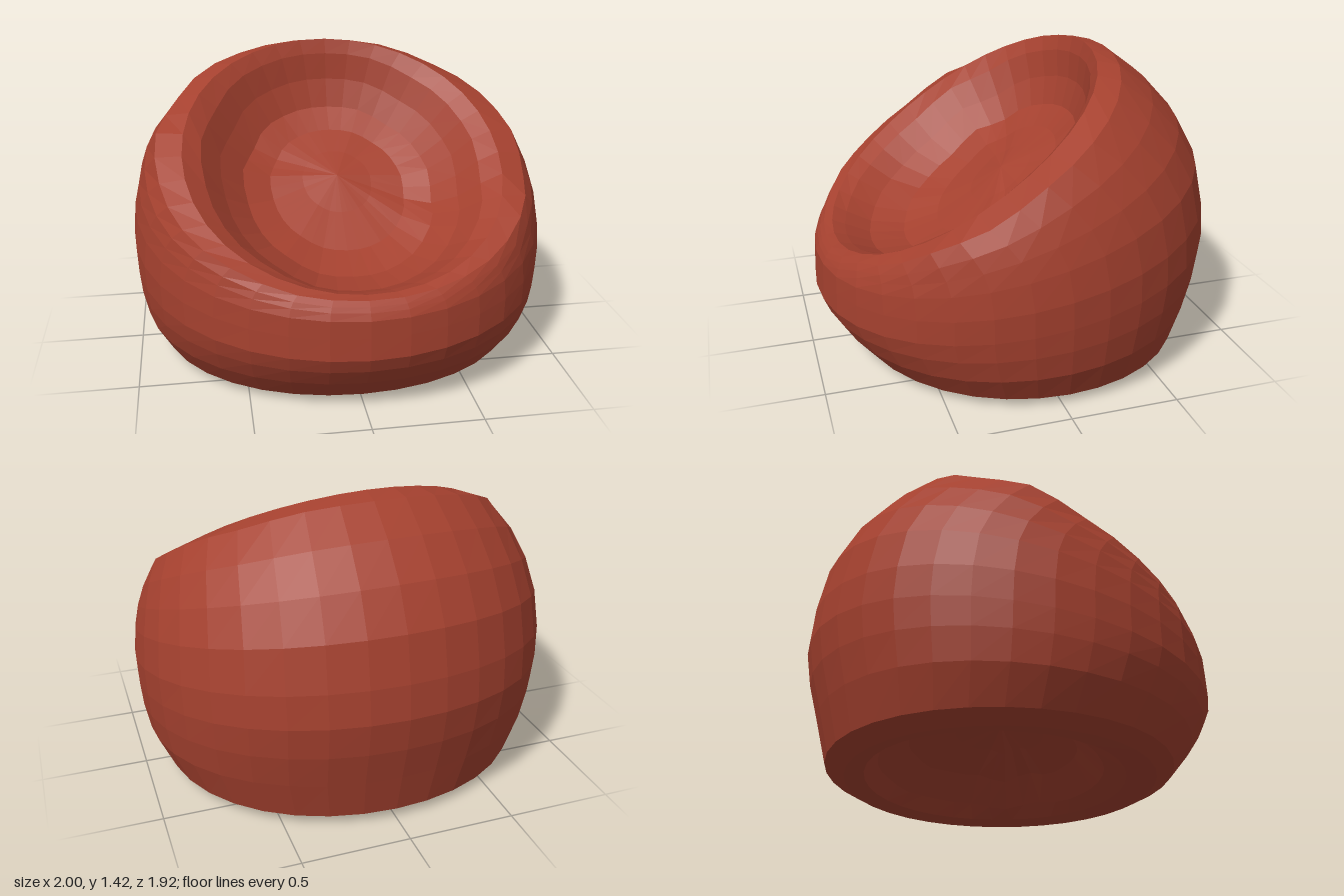
import * as THREE from 'three';

const SEGMENTS = 36;
const TWIST = 0.06; // the raised back leans a little to one side

// Each ring: [front z, front y, back z, back y, half width, wrinkle depth]
const BODY = [
  [0.70, 0.00, -0.75, 0.00, 0.80, 0],
  [0.78, 0.04, -0.84, 0.05, 0.885, 0],
  [0.87, 0.15, -0.89, 0.25, 0.96, 0],
  [0.93, 0.24, -0.935, 0.42, 0.985, 0],
  [0.96, 0.31, -0.96, 0.58, 0.995, 0],
  [0.955, 0.41, -0.945, 0.74, 1.0, 0],
  [0.95, 0.49, -0.90, 0.95, 0.985, 0],
  [0.935, 0.52, -0.80, 1.13, 0.96, 0],
  [0.92, 0.54, -0.66, 1.28, 0.925, 0.006],
  [0.90, 0.56, -0.50, 1.40, 0.87, 0.015],
  [0.86, 0.57, -0.40, 1.42, 0.75, 0],
];
const SEAT = [
  BODY[BODY.length - 1],
  [0.80, 0.55, -0.38, 1.35, 0.66, 0.015],
  [0.68, 0.50, -0.37, 1.22, 0.57, 0.02],
  [0.51, 0.49, -0.33, 1.08, 0.46, 0.02],
  [0.34, 0.55, -0.24, 0.98, 0.33, 0.01],
  [0.17, 0.68, -0.12, 0.90, 0.17, 0.005],
  [0.02, 0.82, 0.02, 0.82, 0, 0],
];
const BASE = [
  [-0.02, 0.29, -0.02, 0.29, 0, 0],
  [0.18, 0.24, -0.24, 0.25, 0.24, 0.02],
  [0.34, 0.16, -0.46, 0.19, 0.46, 0.03],
  [0.46, 0.05, -0.60, 0.09, 0.62, 0.02],
  [0.56, 0.01, -0.66, 0.02, 0.70, 0],
  BODY[0],
];

// Uneven cloth folds: strongest at the sides, faint at front and back
function fold(angle) {
  const side = 0.15 + 0.85 * Math.sin(angle) ** 2;
  return side * (0.6 * Math.sin(angle * 7 + 0.6) + 0.4 * Math.sin(angle * 11 + 2));
}

function ringPoint([zf, yf, zb, yb, rx, wrinkle], j) {
  const a = (j / SEGMENTS) * Math.PI * 2;
  const along = (1 - Math.cos(a)) / 2;
  const rise = (1 - Math.cos(a - TWIST)) / 2;
  const f = wrinkle * fold(a);
  // slightly squarer corners
  const bulge = 1 + 0.012 * Math.sin(2 * a) ** 2;
  const mid = (zf + zb) / 2;
  return [
    Math.sin(a) * (rx + f * 0.5) * bulge,
    yf + (yb - yf) * rise + f,
    mid + (zf + (zb - zf) * along - mid) * bulge,
  ];
}

// Skin tilted rings, leaving out the collapsed triangles at the poles
function loft(rings) {
  const positions = [];
  const index = [];
  const cols = SEGMENTS;
  rings.forEach((ring) => {
    for (let j = 0; j < cols; j++) positions.push(...ringPoint(ring, j));
  });
  for (let i = 0; i < rings.length - 1; i++) {
    for (let j = 0; j < cols; j++) {
      const a = i * cols + j;
      const b = i * cols + ((j + 1) % cols);
      const c = b + cols;
      const d = a + cols;
      if (rings[i][4] > 0) index.push(a, b, c);
      if (rings[i + 1][4] > 0) index.push(a, c, d);
    }
  }
  const geometry = new THREE.BufferGeometry();
  geometry.setAttribute('position', new THREE.Float32BufferAttribute(positions, 3));
  geometry.setIndex(index);
  const flat = geometry.toNonIndexed();
  flat.computeVertexNormals();
  return flat;
}

export function createModel() {
  const group = new THREE.Group();
  group.name = 'beanBagChair';

  const fabric = new THREE.MeshStandardMaterial({ color: 0xa5412f });
  fabric.name = 'rust red fabric';
  fabric.flatShading = true;

  const addPart = (name, rings) => {
    const mesh = new THREE.Mesh(loft(rings), fabric);
    mesh.name = name;
    group.add(mesh);
  };

  addPart('outerCover', BODY); // rounded sack with a raised back and soft arms
  addPart('seatHollow', SEAT); // creased bowl to sit in
  addPart('underside', BASE); // pushed-in bottom
  return group;
}
